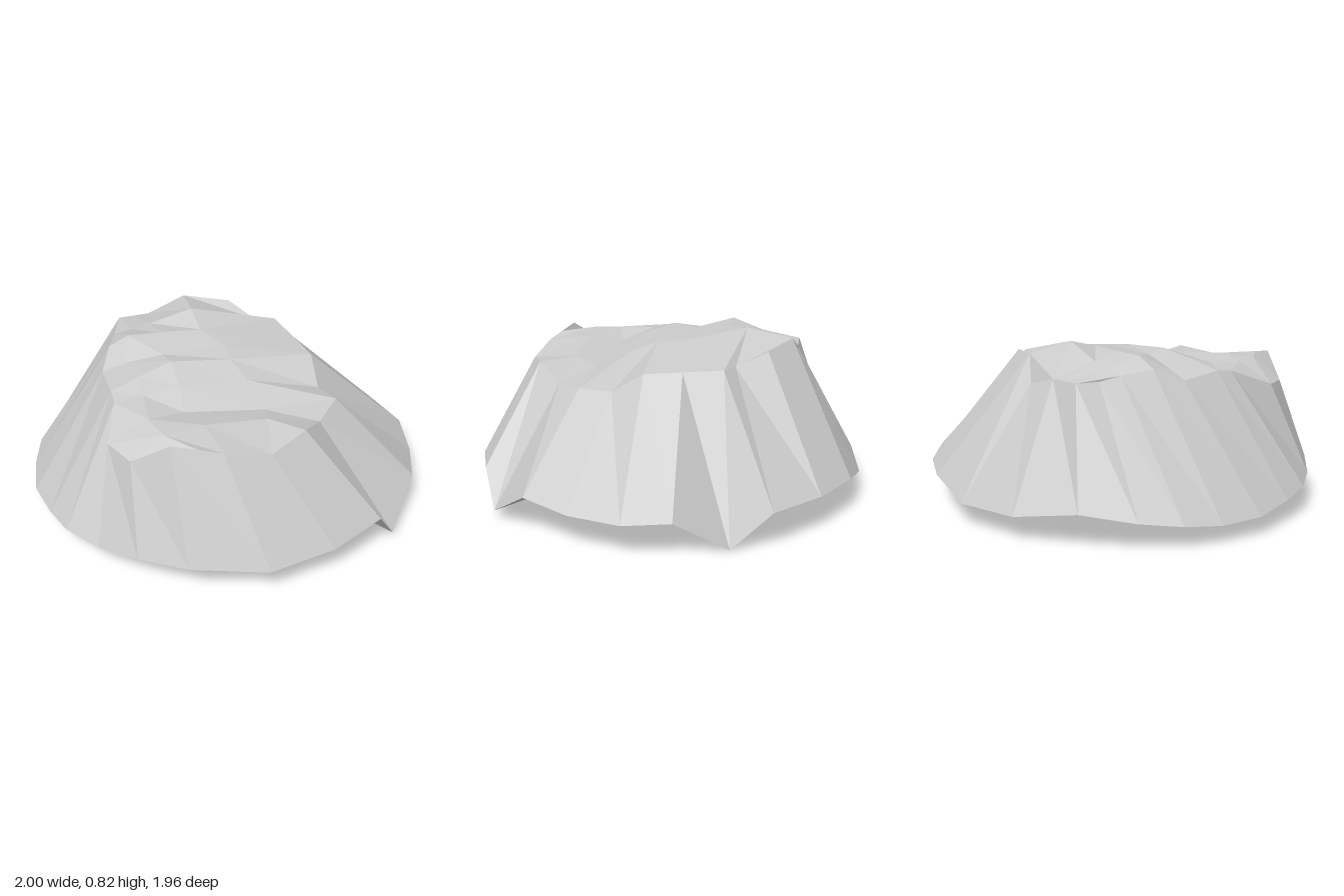
import * as THREE from 'three';

// Rows across the crown from back to front; each runs from -x to +x.
const crown = [
  [[-0.43, 0.69, -0.61], [-0.35, 0.69, -0.615], [-0.27, 0.69, -0.62], [-0.07, 0.78, -0.61], [0.16, 0.765, -0.52]],
  [[-0.49, 0.71, -0.40], [-0.40, 0.73, -0.40], [-0.30, 0.75, -0.40], [-0.08, 0.82, -0.38], [0.27, 0.71, -0.38]],
  [[-0.54, 0.73, -0.25], [-0.44, 0.78, -0.25], [-0.28, 0.78, -0.24], [-0.07, 0.78, -0.22], [0.37, 0.72, -0.34]],
  [[-0.60, 0.67, -0.11], [-0.48, 0.71, -0.10], [-0.30, 0.75, -0.07], [0.02, 0.76, -0.07], [0.41, 0.71, -0.15]],
  [[-0.59, 0.69, 0.11], [-0.45, 0.73, 0.08], [-0.28, 0.77, 0.04], [0.02, 0.75, 0.06], [0.45, 0.70, 0.03]],
  [[-0.59, 0.68, 0.20], [-0.45, 0.70, 0.20], [-0.27, 0.72, 0.19], [0.07, 0.70, 0.19], [0.44, 0.60, 0.19]],
  [[-0.66, 0.60, 0.41], [-0.46, 0.69, 0.39], [-0.28, 0.66, 0.33], [0.11, 0.63, 0.36], [0.48, 0.62, 0.34]],
  [[-0.58, 0.59, 0.56], [-0.42, 0.69, 0.53], [-0.22, 0.69, 0.50], [0.09, 0.66, 0.48], [0.35, 0.60, 0.48]],
  [[-0.41, 0.71, 0.65], [-0.295, 0.69, 0.68], [-0.18, 0.67, 0.71], [0.04, 0.63, 0.72], [0.23, 0.665, 0.62]],
];

// Bottom rim, clockwise from above, starting at the back (-x side).
const rim = [
  [-0.64, 0.165, -0.76], [-0.37, 0.12, -0.92], [-0.03, 0.11, -0.98], [0.25, 0.18, -0.95],
  [0.51, 0.185, -0.83], [0.75, 0.19, -0.64], [0.78, 0, -0.45], [0.94, 0.18, -0.22],
  [1, 0.175, 0], [0.95, 0.175, 0.26], [0.86, 0.20, 0.50], [0.68, 0.035, 0.72],
  [0.57, 0.21, 0.80], [0.30, 0.18, 0.92], [-0.03, 0.16, 0.975], [-0.39, 0.175, 0.88],
  [-0.60, 0.17, 0.75], [-0.76, 0.14, 0.59], [-0.89, 0.13, 0.41], [-0.95, 0.11, 0.23],
  [-1, 0.09, 0], [-0.98, 0.09, -0.22], [-0.93, 0.11, -0.40], [-0.82, 0.13, -0.57],
];

// Inner ring of the hollow underside, one point for every second rim point.
const hollow = [
  [-0.22, 0.17, -0.36], [0.14, 0.08, -0.30], [0.32, 0.18, -0.55], [0.34, 0.17, -0.21],
  [0.42, 0.17, 0.02], [0.36, 0.17, 0.22], [0.28, 0.18, 0.42], [0, 0.17, 0.50],
  [-0.28, 0.17, 0.40], [-0.44, 0.16, 0.22], [-0.48, 0.14, 0], [-0.44, 0.14, -0.20],
];
const hollowCentre = [0, 0.17, 0.05];
const backLip = [-0.12, 0.65, -0.64];
const sideLip = [-0.46, 0.69, -0.50];

function facetedMesh(name, triangles, material) {
  const geometry = new THREE.BufferGeometry();
  geometry.setAttribute('position', new THREE.Float32BufferAttribute(triangles.flat(2), 3));
  geometry.computeVertexNormals();
  const mesh = new THREE.Mesh(geometry, material);
  mesh.name = name;
  return mesh;
}

export function createModel() {
  const material = new THREE.MeshStandardMaterial({ color: 0xcccccc, flatShading: true });
  const last = crown.length - 1;

  // Shoulder: the crown's outline plus two lips, one point per rim point
  const [b0, , b2, b3, b4] = crown[0];
  const [f0, , f2, f3, f4] = crown[last];
  const middle = crown.slice(1, last);
  const shoulder = [
    b0, b2, backLip, b3, b4,
    ...middle.map((row) => row[4]),
    f4, f3, f2, f0,
    ...middle.map((row) => row[0]).reverse(),
    sideLip,
  ];

  // Crown: uneven top surface
  const top = [];
  for (let i = 0; i < last; i++) {
    for (let j = 0; j < 4; j++) {
      const a = crown[i][j], b = crown[i][j + 1];
      const c = crown[i + 1][j], d = crown[i + 1][j + 1];
      top.push([a, c, d], [a, d, b]);
    }
  }
  top.push([backLip, b2, b3], [sideLip, crown[1][0], b0]);

  // Slopes from shoulder to rim
  const slopes = [];
  rim.forEach((r, i) => {
    const k = (i + 1) % rim.length;
    slopes.push([r, shoulder[i], shoulder[k]], [r, shoulder[k], rim[k]]);
  });

  // Underside: rim to inner ring, then a shallow fan
  const under = [];
  hollow.forEach((h, i) => {
    const next = hollow[(i + 1) % hollow.length];
    const a = rim[2 * i], b = rim[2 * i + 1], c = rim[(2 * i + 2) % rim.length];
    under.push([a, b, h], [b, c, next], [b, next, h], [h, next, hollowCentre]);
  });

  const rock = new THREE.Group();
  rock.name = 'rockMound';
  rock.add(
    facetedMesh('crown', top, material),
    facetedMesh('slopes', slopes, material),
    facetedMesh('underside', under, material),
  );
  return rock;
}
